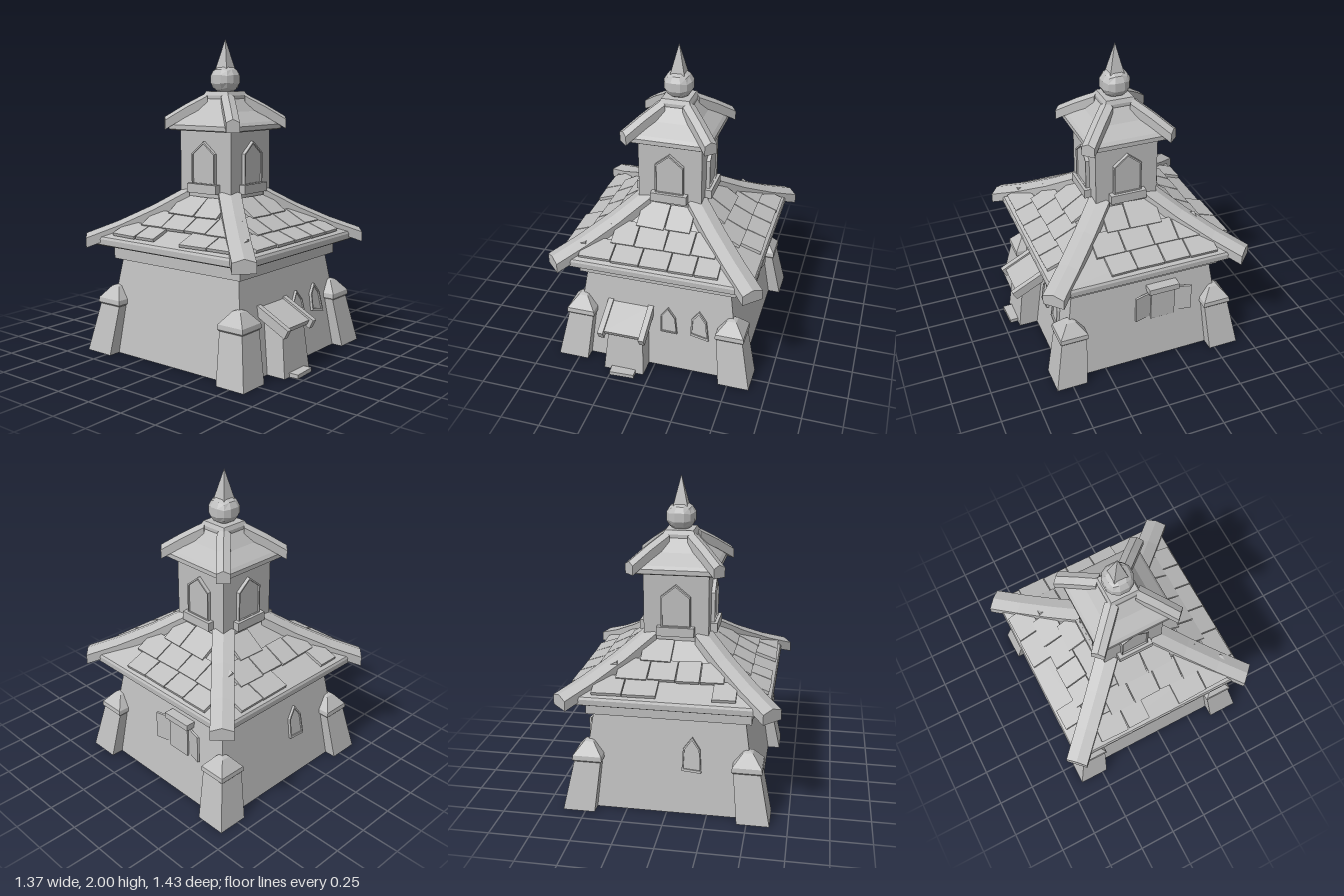
import * as THREE from 'three';

const stone = new THREE.MeshStandardMaterial({ color: 0xbfbfbf, flatShading: true, side: THREE.DoubleSide });
stone.name = 'grey stone';

function add(parent, geometry, name, x = 0, y = 0, z = 0) {
  const mesh = new THREE.Mesh(geometry, stone);
  mesh.name = name;
  mesh.position.set(x, y, z);
  parent.add(mesh);
  return mesh;
}

function group(parent, name, rotationY = 0) {
  const g = new THREE.Group();
  g.name = name;
  g.rotation.y = rotationY;
  parent.add(g);
  return g;
}

// Skin a list of cross-sections with equal point counts
function loft(rings, capStart = true, capEnd = true) {
  const p = [];
  const n = rings[0].length;
  for (let i = 0; i < rings.length - 1; i++) {
    for (let j = 0; j < n; j++) {
      const k = (j + 1) % n;
      const a = rings[i][j], b = rings[i][k], c = rings[i + 1][k], d = rings[i + 1][j];
      p.push(...a, ...b, ...c, ...a, ...c, ...d);
    }
  }
  const first = rings[0], last = rings[rings.length - 1];
  for (let j = 1; j < n - 1; j++) {
    if (capStart) p.push(...first[0], ...first[j + 1], ...first[j]);
    if (capEnd) p.push(...last[0], ...last[j], ...last[j + 1]);
  }
  const g = new THREE.BufferGeometry();
  g.setAttribute('position', new THREE.Float32BufferAttribute(p, 3));
  g.computeVertexNormals();
  return g;
}

const rect = (x0, x1, z0, z1, y) => [[x1, y, z1], [x1, y, z0], [x0, y, z0], [x0, y, z1]];
// Square tower section: half width, height, optional centre
const square = (h, y, cx = 0, cz = 0) => rect(cx - h, cx + h, cz - h, cz + h, y);
const box = (w, h, d) => new THREE.BoxGeometry(w, h, d);

// Peaked hip beam following [r, y] points down the diagonal
function hipBeam(path, w, t) {
  return loft(path.map(([r, y]) => {
    const d = r * Math.SQRT2;
    return [[-w, y, d], [w, y, d], [w, y + t * 0.75, d], [0, y + t, d], [-w, y + t * 0.75, d]];
  }));
}

// Pointed window: raised rim around a recessed panel
function addWindow(parent, name, pts, front, rim) {
  const v = pts.map(([x, y]) => new THREE.Vector2(x, y));
  const c = v.reduce((s, q) => s.add(q), new THREE.Vector2()).divideScalar(v.length);
  const inner = v.map(q => q.clone().sub(c).multiplyScalar(rim).add(c));
  const frame = new THREE.Shape(v);
  frame.holes.push(new THREE.Path(inner));
  const extrude = (s, depth) => new THREE.ExtrudeGeometry(s, { depth, bevelEnabled: false });
  add(parent, extrude(frame, 0.04), name + 'Frame', 0, 0, front - 0.04);
  add(parent, extrude(new THREE.Shape(inner), 0.03), name + 'Panel', 0, 0, front - 0.04);
}

const roofProfile = [[0.615, 0.76], [0.45, 0.83], [0.32, 0.91], [0.19, 1.015]];
function roofHeight(r) {
  for (let i = 0; i < 3; i++) {
    const [r0, y0] = roofProfile[i], [r1, y1] = roofProfile[i + 1];
    if (r >= r1) return y0 + (y1 - y0) * (r0 - r) / (r0 - r1);
  }
  return 1.015;
}

export function createModel() {
  const model = new THREE.Group();
  model.name = 'towerHouse';
  const house = group(model, 'house');
  house.position.z = -0.03;
  let seed = 7;
  const rand = () => (seed = (seed * 16807) % 2147483647) / 2147483647;

  // Tapered walls, open below, and the band under the eaves
  add(house, loft([square(0.56, 0), square(0.47, 0.61)], false, false), 'walls');
  add(house, loft([square(0.51, 0.605), square(0.51, 0.71)]), 'eaveBand');

  // Corner buttresses with pointed caps
  for (const sx of [-1, 1]) for (const sz of [-1, 1]) {
    add(house, loft([square(0.1, 0, sx * 0.54, sz * 0.535), square(0.082, 0.33, sx * 0.49, sz * 0.49)], false), 'buttress');
    const cap = (h, y) => square(h, y, sx * 0.493, sz * 0.493);
    add(house, loft([cap(0.085, 0.31), cap(0.093, 0.32), cap(0.09, 0.35), cap(0.03, 0.425), cap(0.012, 0.432)]), 'buttressCap');
  }

  // Main roof
  add(house, loft([square(0.6, 0.70), square(0.62, 0.71), square(0.622, 0.745),
    ...roofProfile.map(([r, y]) => square(r, y))]), 'mainRoof');

  // Tower and its roof
  add(house, loft([square(0.204, 0.98), square(0.204, 1.45)]), 'tower');
  add(house, loft([square(0.245, 1.43), square(0.257, 1.437), square(0.257, 1.465), square(0.24, 1.485),
    square(0.16, 1.55), square(0.09, 1.64)]), 'towerRoof');

  for (let k = 0; k < 4; k++) {
    const side = group(house, 'roofSide', k * Math.PI / 2);

    // Staggered shingles
    for (const [r0, r1] of [[0.6, 0.45], [0.475, 0.33], [0.35, 0.21]]) {
      const y0 = roofHeight(r0), y1 = roofHeight(r1), mid = (r0 + r1) / 2;
      const slope = Math.atan2(y1 - y0, r0 - r1);
      let u = -mid + 0.05 + rand() * 0.06;
      while (u < mid - 0.13) {
        const w = 0.14 + rand() * 0.07;
        if (rand() > 0.12) {
          const shingle = add(side, box(w, 0.02, Math.hypot(r0 - r1, y1 - y0) * (0.93 + rand() * 0.1)),
            'shingle', u + w / 2, (y0 + y1) / 2 + 0.012, mid);
          shingle.rotation.set(slope - 0.06, (rand() - 0.5) * 0.06, 0);
        }
        u += w + 0.006;
      }
    }

    // Tower window and sill
    addWindow(side, 'towerWindow', [[-0.092, 1.09], [0.092, 1.09], [0.092, 1.29], [0, 1.365], [-0.092, 1.29]], 0.228, 0.91);
    add(side, box(0.235, 0.058, 0.08), 'towerSill', 0, 1.07, 0.207);

    // Hip beams on both roofs
    const hip = group(house, 'hipBeams', (k + 0.5) * Math.PI / 2);
    add(hip, hipBeam([[0.635, 0.69], [0.49, 0.765], [0.33, 0.865], [0.17, 0.985]], 0.07, 0.085).scale(1, 1, 1), 'mainHip');
    add(hip, hipBeam([[0.275, 1.435], [0.18, 1.515], [0.085, 1.585]], 0.042, 0.08), 'towerHip');
  }

  // Finial: collar, faceted ball and spike
  add(house, loft([square(0.092, 1.61), square(0.1, 1.63), square(0.1, 1.65), square(0.088, 1.675)]), 'finialCollar');
  const ball = box(1, 1, 1, 1).toNonIndexed() && new THREE.BoxGeometry(1, 1, 1, 3, 3, 3);
  const pos = ball.attributes.position, v = new THREE.Vector3();
  for (let i = 0; i < pos.count; i++) {
    v.fromBufferAttribute(pos, i).normalize().multiplyScalar(0.098);
    pos.setXYZ(i, v.x, v.y * 0.93, v.z);
  }
  ball.computeVertexNormals();
  add(house, ball, 'finialBall', 0, 1.75, 0);
  add(house, loft([square(0.045, 1.815), square(0.001, 2)]), 'finialSpike');

  // Leaning windows set in the sloping front and back walls
  const tilt = -Math.atan2(0.09, 0.61);
  const wallFace = (name, turn) => {
    const face = group(group(house, name, turn), name + 'Slope');
    face.position.z = 0.56;
    face.rotation.x = tilt;
    return face;
  };
  const front = wallFace('frontWindows', 0);
  addWindow(front, 'innerWindow', [[0.035, 0.262], [0.142, 0.26], [0.126, 0.37], [0.075, 0.435], [0.031, 0.375]], 0.018, 0.9);
  addWindow(front, 'outerWindow', [[0.23, 0.272], [0.35, 0.248], [0.33, 0.38], [0.28, 0.445], [0.233, 0.385]], 0.018, 0.82);
  addWindow(wallFace('backWindow', Math.PI), 'backWindow',
    [[0.09, 0.28], [0.21, 0.27], [0.2, 0.42], [0.15, 0.495], [0.095, 0.42]], 0.018, 0.85);

  // Shuttered window on the left wall
  const shutters = group(house, 'shutteredWindow');
  add(shutters, box(0.06, 0.21, 0.165), 'shutterWindowPanel', 0.495, 0.395, -0.13);
  add(shutters, box(0.075, 0.04, 0.205), 'shutterWindowLintel', 0.507, 0.52, -0.13);
  for (const s of [-1, 1]) {
    const shutter = add(shutters, box(0.015, 0.185, 0.118), 'shutter', 0.52, 0.402, -0.13 + s * 0.137);
    shutter.rotation.y = s * 0.25;
  }

  // Door porch with sloping canopy and step
  const porch = group(house, 'porch');
  add(porch, loft([rect(-0.305, -0.04, 0.45, 0.685, 0), rect(-0.275, -0.052, 0.45, 0.645, 0.31)]), 'doorway');
  const canopy = group(porch, 'canopy');
  canopy.position.set(-0.175, 0.337, 0.597);
  canopy.rotation.x = 0.48;
  add(canopy, box(0.24, 0.035, 0.22), 'canopyPanel', 0, 0, -0.01);
  for (const s of [-1, 1]) add(canopy, box(0.036, 0.06, 0.25), 'canopyRail', s * 0.135, 0, 0);
  const step = add(porch, box(0.16, 0.025, 0.1), 'step', -0.172, 0.0125, 0.69);
  step.rotation.y = 0.05;

  return model;
}
